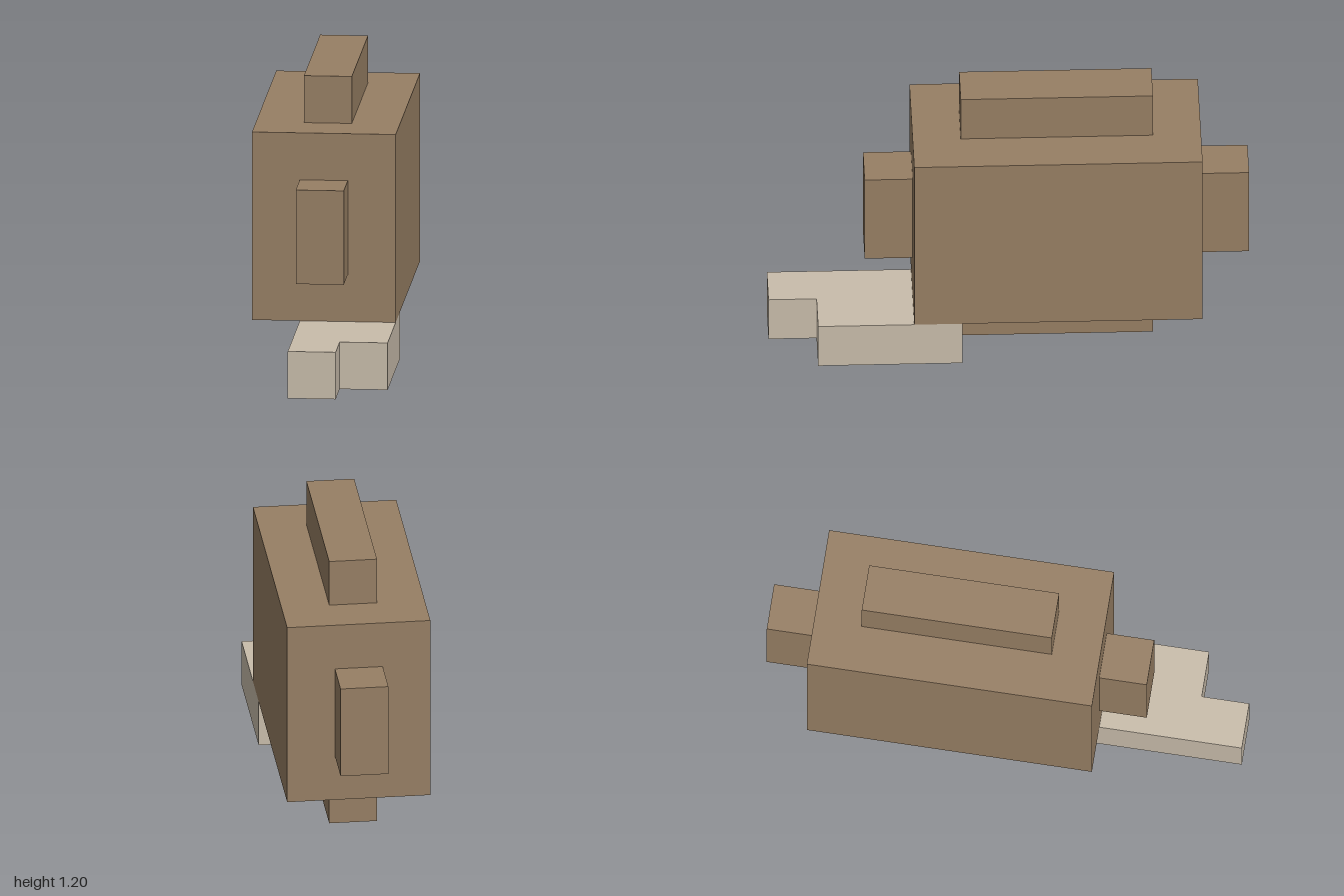
import * as THREE from 'three';

export function createModel() {
  const group = new THREE.Group();
  const brown = new THREE.MeshStandardMaterial({ color: 0x977f64 });
  brown.name = 'brown';
  const beige = new THREE.MeshStandardMaterial({ color: 0xc9bdab });
  beige.name = 'beige';

  const add = (name, geometry, material) => {
    const mesh = new THREE.Mesh(geometry, material);
    mesh.name = name;
    group.add(mesh);
    return mesh;
  };
  const box = (name, w, h, d, y, z) =>
    add(name, new THREE.BoxGeometry(w, h, d), brown).position.set(0, y, z);

  // Main block with a raised pad on the front, back, top and underside
  box('body', 0.6, 0.8, 1.2, 0.6, -0.2);
  box('frontPad', 0.2, 0.4, 0.2, 0.6, 0.5);
  box('backPad', 0.2, 0.4, 0.2, 0.6, -0.9);
  box('topRidge', 0.2, 0.2, 0.8, 1.1, -0.2);
  box('bottomRidge', 0.2, 0.2, 0.8, 0.1, -0.2);

  // Stepped tongue lying flat at the front, outlined as (x, z)
  const outline = [[-0.1, 0.2], [-0.1, 1], [0.1, 1], [0.1, 0.8], [0.3, 0.8], [0.3, 0.2]];
  const shape = new THREE.Shape(outline.map(([x, z]) => new THREE.Vector2(x, -z)));
  const tongue = new THREE.ExtrudeGeometry(shape, { depth: 0.2, bevelEnabled: false });
  tongue.rotateX(-Math.PI / 2);
  add('tongue', tongue, beige);

  return group;
}
